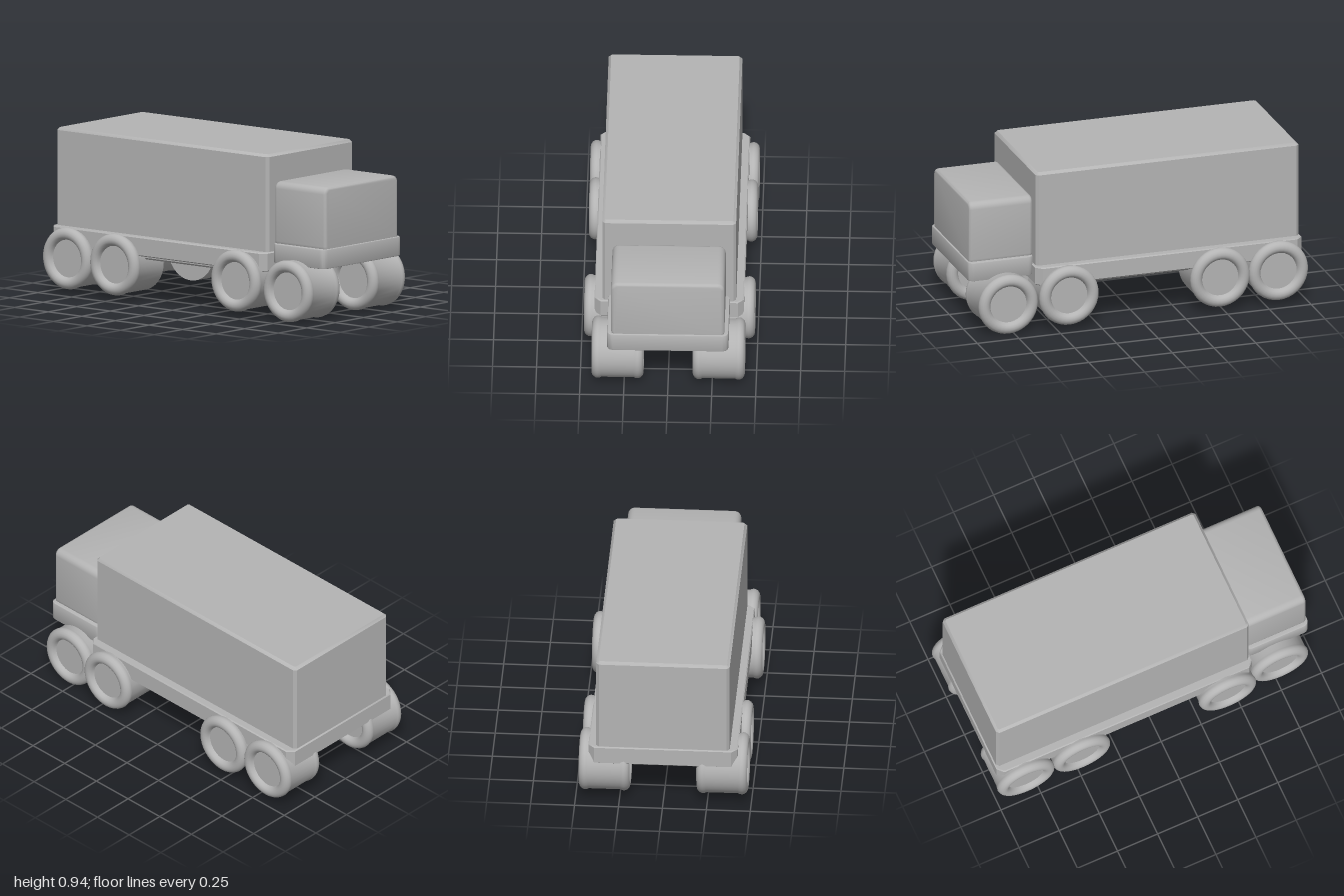
import * as THREE from 'three';
import { toCreasedNormals } from 'three/addons/utils/BufferGeometryUtils.js';

const grey = new THREE.MeshStandardMaterial({ color: 0xb4b4b4 });
grey.name = 'plain grey';

function addPart(parent, name, geometry) {
  const mesh = new THREE.Mesh(geometry, grey);
  mesh.name = name;
  parent.add(mesh);
  return mesh;
}

// Rectangle with corners cut (1 segment) or rounded (several segments)
function cornerRect(w, h, r, segments) {
  const points = [];
  const centres = [[1, 1], [-1, 1], [-1, -1], [1, -1]];
  centres.forEach(([sx, sy], i) => {
    for (let k = 0; k <= segments; k++) {
      const a = (i + k / segments) * Math.PI / 2;
      points.push(new THREE.Vector2(
        sx * (w / 2 - r) + r * Math.cos(a), sy * (h / 2 - r) + r * Math.sin(a)));
    }
  });
  return new THREE.Shape(points);
}

// Extruded block along +z from 0 to depth, with bevelled ends kept inside the size
function block(w, h, depth, { r, segments = 1, bevel = 0, bevelSegments = 1 }) {
  const geometry = new THREE.ExtrudeGeometry(cornerRect(w, h, r, segments), {
    depth: depth - 2 * bevel, bevelEnabled: bevel > 0, bevelThickness: bevel,
    bevelSize: bevel, bevelOffset: -bevel, bevelSegments,
  });
  geometry.translate(0, 0, bevel);
  return toCreasedNormals(geometry, 0.6);
}

// Block standing upright between two heights and two z positions
function slab(w, z0, z1, y0, y1, options) {
  return block(w, z1 - z0, y1 - y0, options)
    .rotateX(-Math.PI / 2).translate(0, y0, (z0 + z1) / 2);
}

// Bulging tyre edge around a recessed hub, listed from hub centre to tread
const tyreEdge = [
  [0, 0.03], [0.108, 0.03], [0.112, 0.018], [0.12, 0.007], [0.132, 0.001], [0.145, 0],
  [0.158, 0.004], [0.168, 0.012], [0.175, 0.024], [0.177, 0.034], [0.175, 0.046], [0.171, 0.055],
];

function wheelGeometry(inner, outer, flatInside) {
  const inside = flatInside
    ? [[0, inner], [0.171, inner]]
    : tyreEdge.map(([r, d]) => [r, inner + d]);
  const outside = tyreEdge.map(([r, d]) => [r, outer - d]).reverse();
  const profile = [...inside, ...outside].map(([r, y]) => new THREE.Vector2(r, y));
  return toCreasedNormals(new THREE.LatheGeometry(profile, 36), 0.7);
}

export function createModel() {
  const truck = new THREE.Group();
  truck.name = 'truck';

  // Cargo body and its bed
  addPart(truck, 'cargoBox', slab(0.76, -0.97, 0.607, 0.34, 0.94, { r: 0.016, bevel: 0.015 }));
  addPart(truck, 'bed', slab(0.85, -0.978, 0.617, 0.27, 0.38, { r: 0.035, bevel: 0.006 }));
  addPart(truck, 'underside', slab(0.76, -0.94, 0.58, 0.246, 0.28, { r: 0.03, bevel: 0.01 }));

  // Cab with rounded top edges, sitting on a bumper tray
  const cab = addPart(truck, 'cab',
    block(0.644, 0.38, 0.38, { r: 0.04, segments: 5, bevel: 0.018, bevelSegments: 3 }));
  cab.position.set(0, 0.59, 0.607);
  addPart(truck, 'cabBase',
    slab(0.69, 0.607, 0.997, 0.315, 0.427, { r: 0.035, segments: 5, bevel: 0.006, bevelSegments: 2 }));

  // Four axles of wide wheels, mirrored left and right
  const axles = [
    { name: 'frontWheel', z: 0.782, y: 0.177, inner: 0.14, outer: 0.435 },
    { name: 'secondWheel', z: 0.435, y: 0.208, inner: 0.22, outer: 0.485, flat: true },
    { name: 'thirdWheel', z: -0.472, y: 0.208, inner: 0.22, outer: 0.478, flat: true },
    { name: 'rearWheel', z: -0.821, y: 0.208, inner: 0.19, outer: 0.48 },
  ];
  for (const { name, z, y, inner, outer, flat } of axles) {
    const geometry = wheelGeometry(inner, outer, flat);
    for (const [side, sign] of [['Left', 1], ['Right', -1]]) {
      const wheel = addPart(truck, name + side, geometry);
      wheel.rotation.z = -sign * Math.PI / 2;
      wheel.position.set(0, y, z);
    }
  }
  return truck;
}
